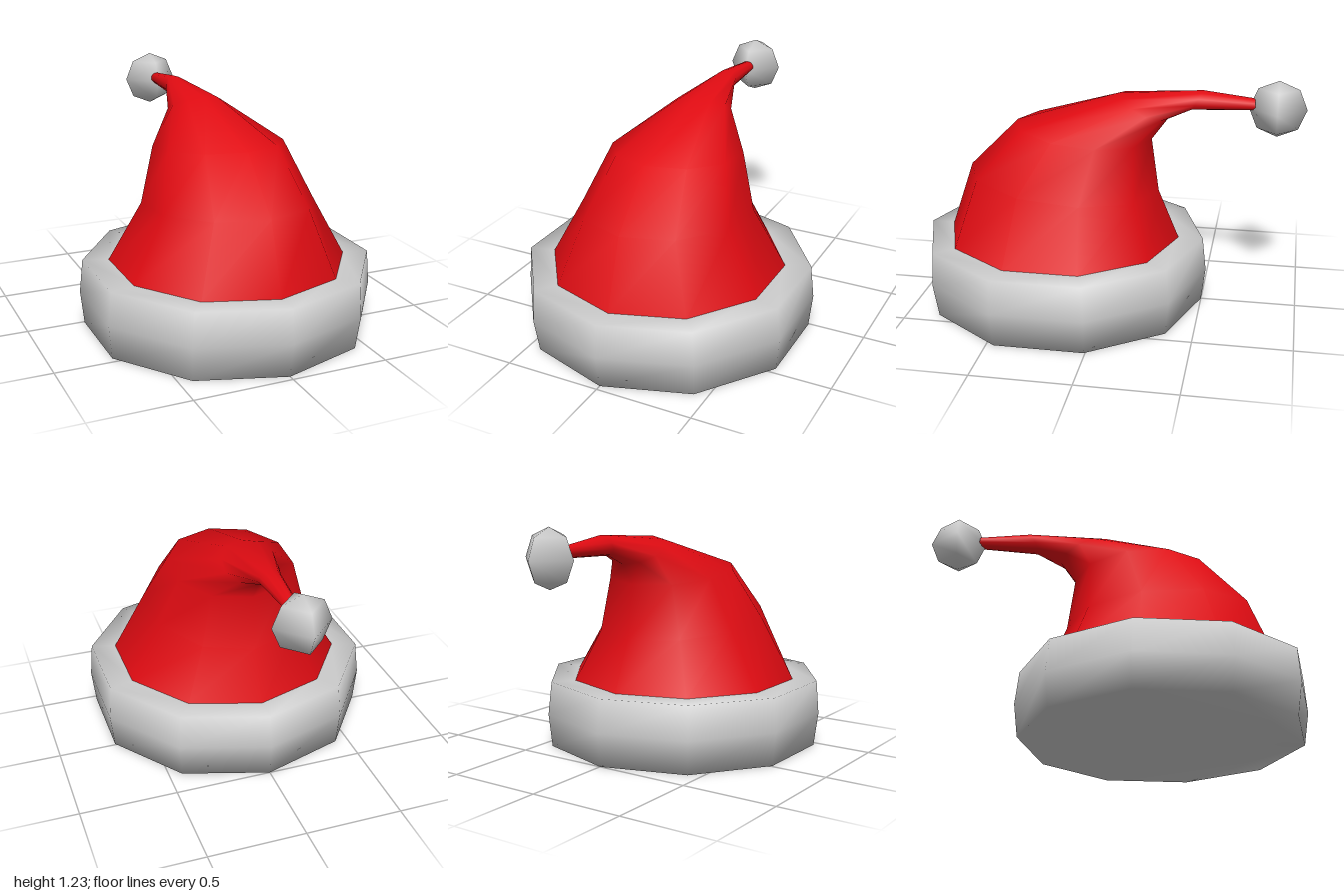
import * as THREE from 'three';

const SIDES = 10;

// Skin through ten-sided rings. Each ring has its front point f and back point b
// as [z, y] in the mid plane, and a radius rx across x. Ends can be closed.
function loft(rings, capStart, capEnd) {
  const pos = [], idx = [];
  for (const { f, b, rx } of rings) {
    for (let j = 0; j < SIDES; j++) {
      const a = (j / SIDES) * Math.PI * 2;
      const t = (1 - Math.cos(a)) / 2;
      pos.push(rx * Math.sin(a), f[1] + (b[1] - f[1]) * t, f[0] + (b[0] - f[0]) * t);
    }
  }
  for (let i = 0; i < rings.length - 1; i++) {
    for (let j = 0; j < SIDES; j++) {
      const k = (j + 1) % SIDES;
      const p = i * SIDES + j, q = i * SIDES + k;
      idx.push(p, q, q + SIDES, p, q + SIDES, p + SIDES);
    }
  }
  const last = (rings.length - 1) * SIDES;
  for (let j = 1; j < SIDES - 1; j++) {
    if (capStart) idx.push(0, j + 1, j);
    if (capEnd) idx.push(last, last + j, last + j + 1);
  }
  const geo = new THREE.BufferGeometry();
  geo.setAttribute('position', new THREE.Float32BufferAttribute(pos, 3));
  geo.setIndex(idx);
  geo.computeVertexNormals();
  return geo;
}

function addMesh(group, name, geometry, material) {
  const mesh = new THREE.Mesh(geometry, material);
  mesh.name = name;
  group.add(mesh);
  return mesh;
}

export function createModel() {
  const group = new THREE.Group();
  group.name = 'floppyHat';
  const fur = new THREE.MeshStandardMaterial({ color: 0xcccccc });
  const felt = new THREE.MeshStandardMaterial({ color: 0xe00b12, side: THREE.DoubleSide });

  // Fur band: closed underside, bulging wall, flat top up to the felt
  addMesh(group, 'furBand', loft([
    { f: [0.97, 0], b: [-0.5, 0], rx: 0.736 },
    { f: [1.0, 0.175], b: [-0.52, 0.175], rx: 0.755 },
    { f: [0.99, 0.35], b: [-0.5, 0.35], rx: 0.738 },
    { f: [0.86, 0.35], b: [-0.36, 0.35], rx: 0.595 },
  ], true, true), fur);

  // Felt cone, bending backwards into a thin tail
  addMesh(group, 'feltCone', loft([
    { f: [0.87, 0.35], b: [-0.37, 0.35], rx: 0.605 },
    { f: [0.75, 0.7], b: [-0.26, 0.61], rx: 0.426 },
    { f: [0.49, 0.96], b: [-0.22, 0.89], rx: 0.331 },
    { f: [-0.04, 1.125], b: [-0.3, 1.0], rx: 0.145 },
    { f: [-0.48, 1.16], b: [-0.42, 1.055], rx: 0.055 },
    { f: [-0.74, 1.13], b: [-0.745, 1.07], rx: 0.033 },
  ], false, true), felt);

  // Coarse pompom at the end of the tail
  addMesh(group, 'pompom', new THREE.SphereGeometry(0.145, 4, 4), fur)
    .position.set(0, 1.08, -0.855);

  return group;
}
